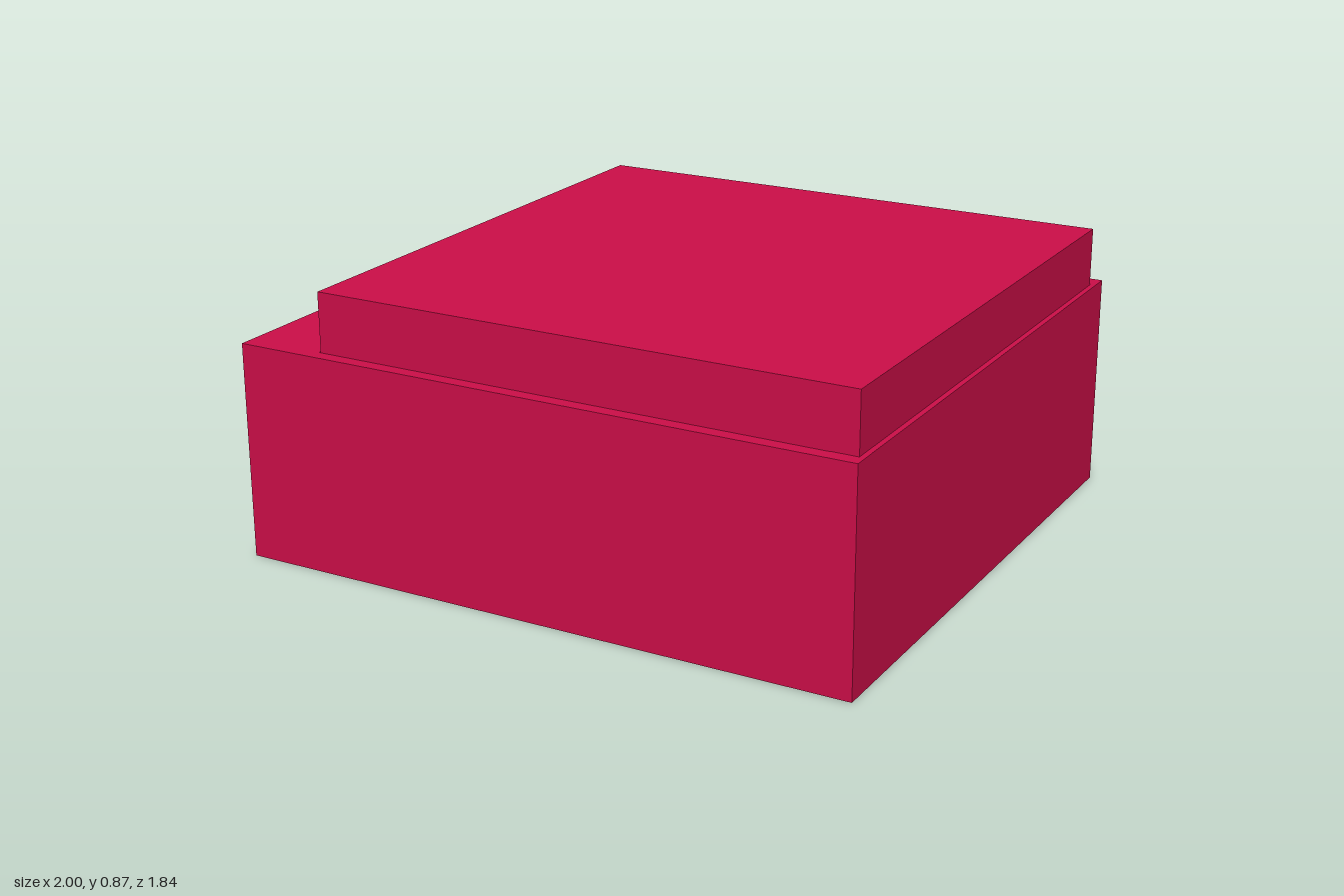
import * as THREE from 'three';

const material = new THREE.MeshStandardMaterial({ color: 0xcc0e48 });

// Closed outline from [x, z] corners
const outline = (pts, Type) => new Type(pts.map(([x, z]) => new THREE.Vector2(x, z)));
const rect = (x0, x1, z0, z1) => [[x0, z0], [x1, z0], [x1, z1], [x0, z1]];

// Upright prism over a plan in x and z, between two heights
function prism(name, plan, y0, y1, hole) {
  const shape = outline(plan, THREE.Shape);
  if (hole) shape.holes.push(outline(hole, THREE.Path));
  const geometry = new THREE.ExtrudeGeometry(shape, { depth: y1 - y0, bevelEnabled: false });
  geometry.rotateX(Math.PI / 2).translate(0, y1, 0);
  const mesh = new THREE.Mesh(geometry, material);
  mesh.name = name;
  return mesh;
}

export function createModel() {
  const group = new THREE.Group();
  group.name = 'coveredBox';

  // Square wall around an open middle
  group.add(prism('outerWall', rect(-1, 1, -0.92, 0.92), 0, 0.68, rect(-0.75, 0.9, -0.847, 0.877)));

  // Lid set into the wall, its back edge very slightly askew
  group.add(prism('lid', [[-0.745, -0.839], [0.983, -0.852], [0.983, 0.875], [-0.745, 0.875]], 0.55, 0.865));

  // Ribs hanging from the lid, laid out about the centre rib
  const centre = 0.02, bottom = 0.11;
  const rib = (name, x, halfWidth, z0, z1) =>
    group.add(prism(name, rect(x - halfWidth, x + halfWidth, z0, z1), bottom, 0.56));
  rib('centreRib', centre, 0.07, -0.35, 0.877);
  for (const side of [-1, 1]) {
    rib('ribFlange', centre + side * 0.09, 0.02, -0.17, 0.69);
    rib('sideRib', centre + side * 0.2, 0.065, -0.17, 0.69);
  }

  return group;
}
